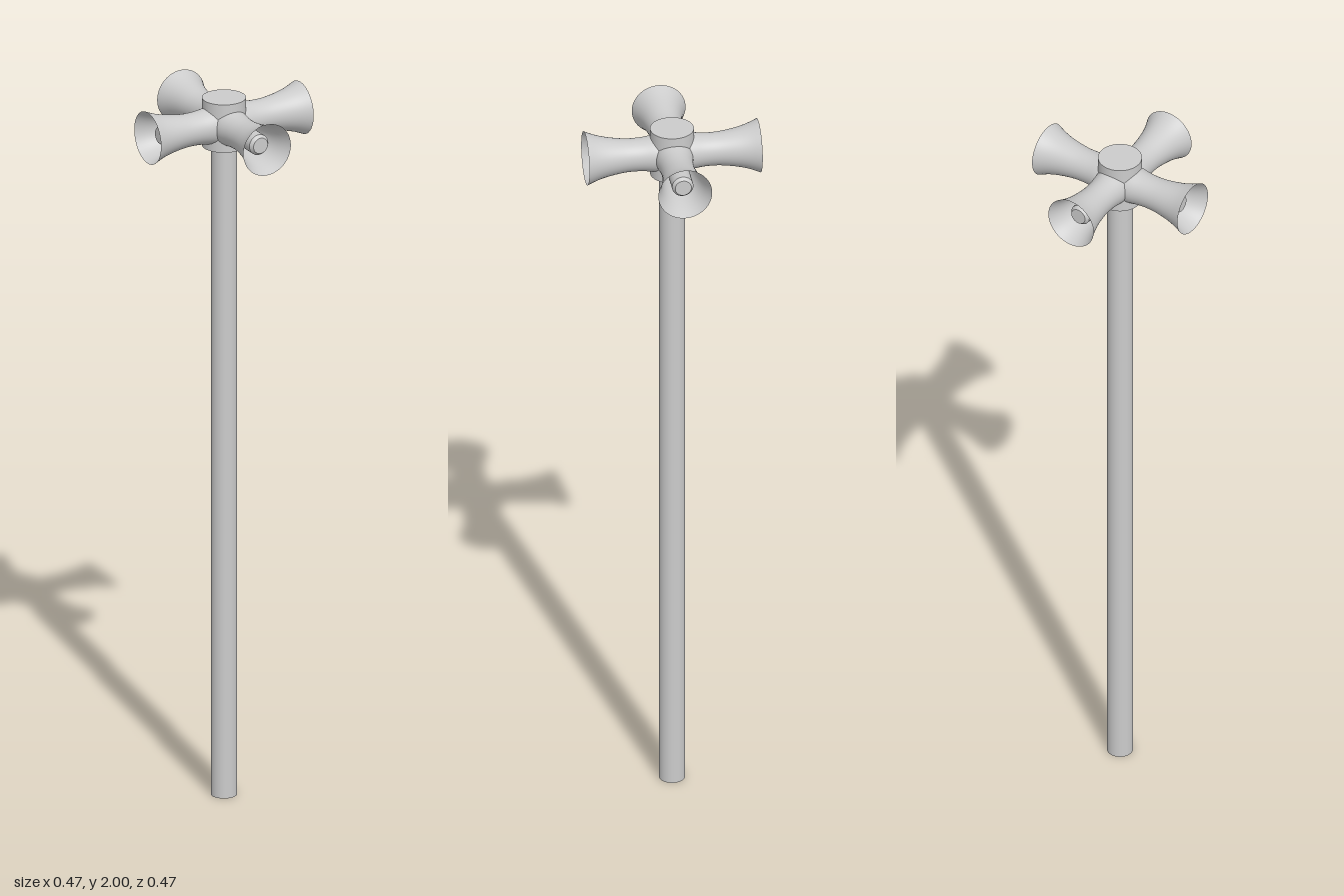
import * as THREE from 'three';

const HEAD_Y = 1.93;

export function createModel() {
  const model = new THREE.Group();
  const solid = new THREE.MeshStandardMaterial({ color: 0xcccccc });
  const thin = new THREE.MeshStandardMaterial({ color: 0xcccccc, side: THREE.DoubleSide });

  const add = (parent, name, geometry, material, y = 0) => {
    const mesh = new THREE.Mesh(geometry, material);
    mesh.name = name;
    mesh.position.y = y;
    parent.add(mesh);
  };

  // Tall pole and the round hub on top of it
  add(model, 'pole', new THREE.CylinderGeometry(0.035, 0.035, 1.87, 32), solid, 0.935);
  add(model, 'hub', new THREE.CylinderGeometry(0.059, 0.059, 0.137, 48), solid, HEAD_Y + 0.0015);

  // Flared bell, open at the mouth: radius against distance from the hub axis
  const flare = new THREE.SplineCurve([
    [0.053, 0.02], [0.05, 0.05], [0.0455, 0.085], [0.0455, 0.125],
    [0.052, 0.17], [0.061, 0.205], [0.073, 0.235],
  ].map(([r, d]) => new THREE.Vector2(r, d)));
  const bellGeometry = new THREE.LatheGeometry(flare.getPoints(24), 48);

  // Driver plug inside the bell: straight body, bevelled nose
  const bodyGeometry = new THREE.CylinderGeometry(0.029, 0.029, 0.14, 32, 1, true);
  const noseGeometry = new THREE.CylinderGeometry(0.022, 0.029, 0.01, 32);

  // Four horns facing front, left, back and right
  ['front', 'left', 'back', 'right'].forEach((side, i) => {
    const horn = new THREE.Group();
    horn.name = `${side}Horn`;
    add(horn, 'bell', bellGeometry, thin);
    add(horn, 'driverBody', bodyGeometry, solid, 0.12);
    add(horn, 'driverNose', noseGeometry, solid, 0.195);
    horn.rotation.set(Math.PI / 2, i * Math.PI / 2, 0, 'YXZ');
    horn.position.y = HEAD_Y - 0.003;
    model.add(horn);
  });

  return model;
}
